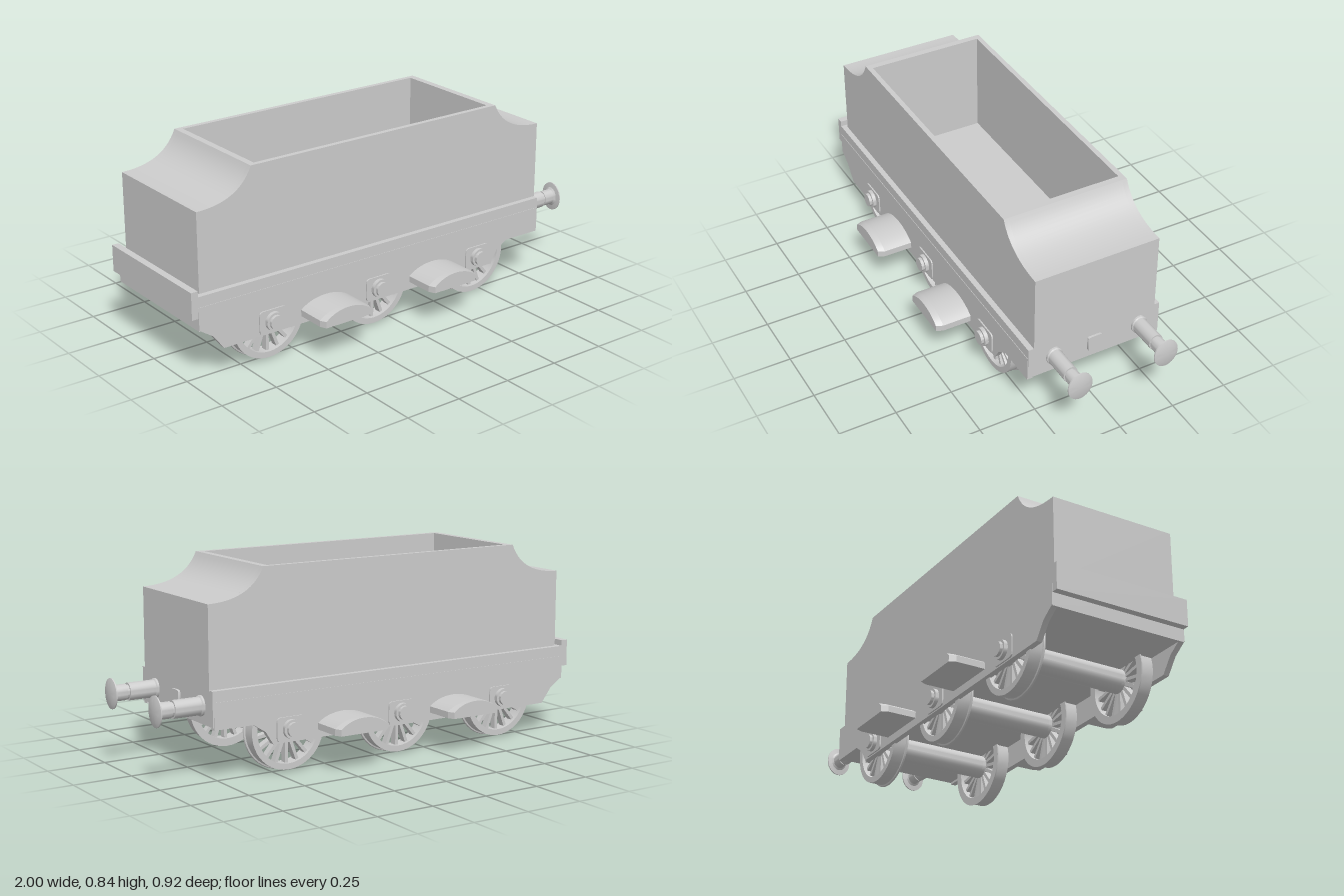
import * as THREE from 'three';
import { toCreasedNormals } from 'three/addons/utils/BufferGeometryUtils.js';

const material = new THREE.MeshStandardMaterial({ color: 0xcccccc });
const AXLES = [-0.63, -0.1, 0.44];
const AXLE_Y = 0.18;
const BODY_Z = 0.005;

function add(parent, name, geometry, x = 0, y = 0, z = 0) {
  const mesh = new THREE.Mesh(geometry, material);
  mesh.name = name;
  mesh.position.set(x, y, z);
  parent.add(mesh);
  return mesh;
}

// Extrude a shape in the xy plane from z0 to z1
function slab(shape, z0, z1) {
  const g = new THREE.ExtrudeGeometry(shape, { depth: z1 - z0, bevelEnabled: false, curveSegments: 14 });
  g.translate(0, 0, z0);
  return toCreasedNormals(g, 0.5);
}

function polygon(points) {
  return new THREE.Shape(points.map(([x, y]) => new THREE.Vector2(x, y)));
}

function roundedRect(width, height, r) {
  const w = width / 2, h = height / 2, s = new THREE.Shape();
  s.moveTo(-w + r, -h);
  s.lineTo(w - r, -h).quadraticCurveTo(w, -h, w, -h + r);
  s.lineTo(w, h - r).quadraticCurveTo(w, h, w - r, h);
  s.lineTo(-w + r, h).quadraticCurveTo(-w, h, -w, h - r);
  s.lineTo(-w, -h + r).quadraticCurveTo(-w, -h, -w + r, -h);
  return s;
}

// Surface of revolution from [radius, height] pairs, axis along +z
function turned(points, segments = 40) {
  const g = new THREE.LatheGeometry(points.map(([r, h]) => new THREE.Vector2(r, h)), segments);
  g.rotateX(Math.PI / 2);
  return toCreasedNormals(g, 0.5);
}

// Tank outline with scooped ends; the notch is the coal space
function tankShape(notched) {
  const s = new THREE.Shape();
  s.moveTo(-0.95, 0.37);
  s.lineTo(0.792, 0.37);
  s.lineTo(0.792, 0.713);
  s.quadraticCurveTo(0.6, 0.715, 0.545, 0.842);
  if (notched) {
    s.lineTo(0.515, 0.842);
    s.lineTo(0.515, 0.39);
    s.lineTo(-0.672, 0.39);
    s.lineTo(-0.672, 0.842);
  }
  s.lineTo(-0.7, 0.842);
  s.quadraticCurveTo(-0.755, 0.71, -0.95, 0.71);
  s.closePath();
  return s;
}

function createTank() {
  const tank = new THREE.Group();
  tank.name = 'tank';
  tank.position.z = BODY_Z;
  add(tank, 'tankEndsAndFloor', slab(tankShape(true), -0.255, 0.255));
  add(tank, 'tankSideLeft', slab(tankShape(false), 0.255, 0.277));
  add(tank, 'tankSideRight', slab(tankShape(false), -0.277, -0.255));
  return tank;
}

// Spoked wheel with its flange towards the inside (-z)
function createWheel() {
  const wheel = new THREE.Group();
  wheel.name = 'wheel';
  add(wheel, 'tyre', turned([
    [0.143, -0.03], [0.176, -0.03], [0.174, -0.024], [0.168, -0.022], [0.168, 0.03], [0.143, 0.03], [0.143, -0.03],
  ], 48));
  add(wheel, 'hub', turned([[0, -0.03], [0.05, -0.03], [0.05, 0.025], [0, 0.025]], 32));
  const spoke = new THREE.BoxGeometry(0.014, 0.105, 0.03);
  spoke.translate(0, 0.095, 0);
  const count = 18;
  for (let i = 0; i < count; i++) {
    add(wheel, 'spoke', spoke).rotation.z = (i / count) * Math.PI * 2;
  }
  return wheel;
}

function createWheelset(x) {
  const set = new THREE.Group();
  set.name = 'wheelset';
  set.position.set(x, AXLE_Y, 0);
  add(set, 'axle', turned([[0, -0.23], [0.05, -0.23], [0.05, 0.23], [0, 0.23]], 32));
  for (const side of [1, -1]) {
    const wheel = createWheel();
    wheel.position.z = side * 0.251;
    if (side < 0) wheel.rotation.y = Math.PI;
    set.add(wheel);
  }
  return set;
}

// Side frame with axle boxes and springs, built facing +z
function createSideFrame(side) {
  const frame = new THREE.Group();
  frame.name = side > 0 ? 'sideFrameLeft' : 'sideFrameRight';
  frame.position.z = BODY_Z;
  const plate = [
    [-0.97, 0.33], [-0.97, 0.235], [-0.91, 0.195], [-0.86, 0.13], [0.52, 0.13],
    [0.555, 0.185], [0.61, 0.22], [0.785, 0.22], [0.785, 0.33],
  ];
  // The far frame is turned half round, so x is reversed here by side
  add(frame, 'framePlate', slab(polygon(plate.map(([x, y]) => [x * side, y])), 0.278, 0.303));

  for (const x of AXLES) {
    const box = new THREE.Group();
    box.name = 'axleBox';
    box.position.set(x * side, 0.185, 0);
    add(box, 'axleBoxPlate', slab(roundedRect(0.13, 0.1, 0.02), 0.295, 0.309));
    add(box, 'axleBoxCover', turned([
      [0.04, 0.3], [0.04, 0.325], [0.03, 0.325], [0.03, 0.338], [0, 0.338],
    ], 28));
    frame.add(box);
  }

  // Arched blocks between the axle boxes, with eased corners at the tip
  const arch = new THREE.Shape();
  arch.moveTo(-0.122, 0.163);
  arch.lineTo(0.122, 0.163);
  arch.lineTo(0.122, 0.19);
  arch.bezierCurveTo(0.06, 0.24, -0.06, 0.24, -0.122, 0.19);
  arch.closePath();
  const tip = slab(arch, 0.43, 0.458);
  const p = tip.attributes.position;
  for (let i = 0; i < p.count; i++) if (p.getZ(i) > 0.45) p.setX(i, p.getX(i) * 0.9);
  const tipGeometry = toCreasedNormals(tip, 0.5);
  for (const x of [-0.37, 0.188]) {
    add(frame, 'springBlock', slab(arch, 0.3, 0.43), x * side);
    add(frame, 'springBlockTip', tipGeometry, x * side);
  }
  if (side < 0) frame.rotation.y = Math.PI;
  return frame;
}

// Bumper with a slightly oval section and a domed head, pointing along +x
function addBumper(parent, z) {
  const geometry = turned([
    [0, 0], [0.042, 0], [0.042, 0.008], [0.037, 0.012], [0.037, 0.128], [0.03, 0.128], [0.03, 0.138],
    [0.034, 0.138], [0.034, 0.188], [0.042, 0.194], [0.064, 0.197], [0.064, 0.202], [0.045, 0.208], [0, 0.21],
  ], 32);
  geometry.scale(0.85, 1, 1);
  add(parent, 'bumper', geometry, 0.79, 0.303, z).rotation.y = Math.PI / 2;
}

export function createModel() {
  const model = new THREE.Group();
  model.name = 'tender';
  model.add(createTank());

  // Running plate and end beam
  add(model, 'runningPlate', new THREE.BoxGeometry(1.76, 0.145, 0.602), -0.09, 0.3025, BODY_Z);
  add(model, 'endBeam', new THREE.BoxGeometry(0.03, 0.115, 0.602), -0.985, 0.3425, BODY_Z);

  for (const side of [1, -1]) model.add(createSideFrame(side));
  for (const z of [0.19, -0.202]) addBumper(model, z);
  for (const x of AXLES) model.add(createWheelset(x));

  // Coupling pad between the bumpers
  const pad = add(model, 'couplingPad', slab(roundedRect(0.066, 0.07, 0.012), 0, 0.012), 0.788, 0.298, BODY_Z);
  pad.rotation.y = Math.PI / 2;
  return model;
}
